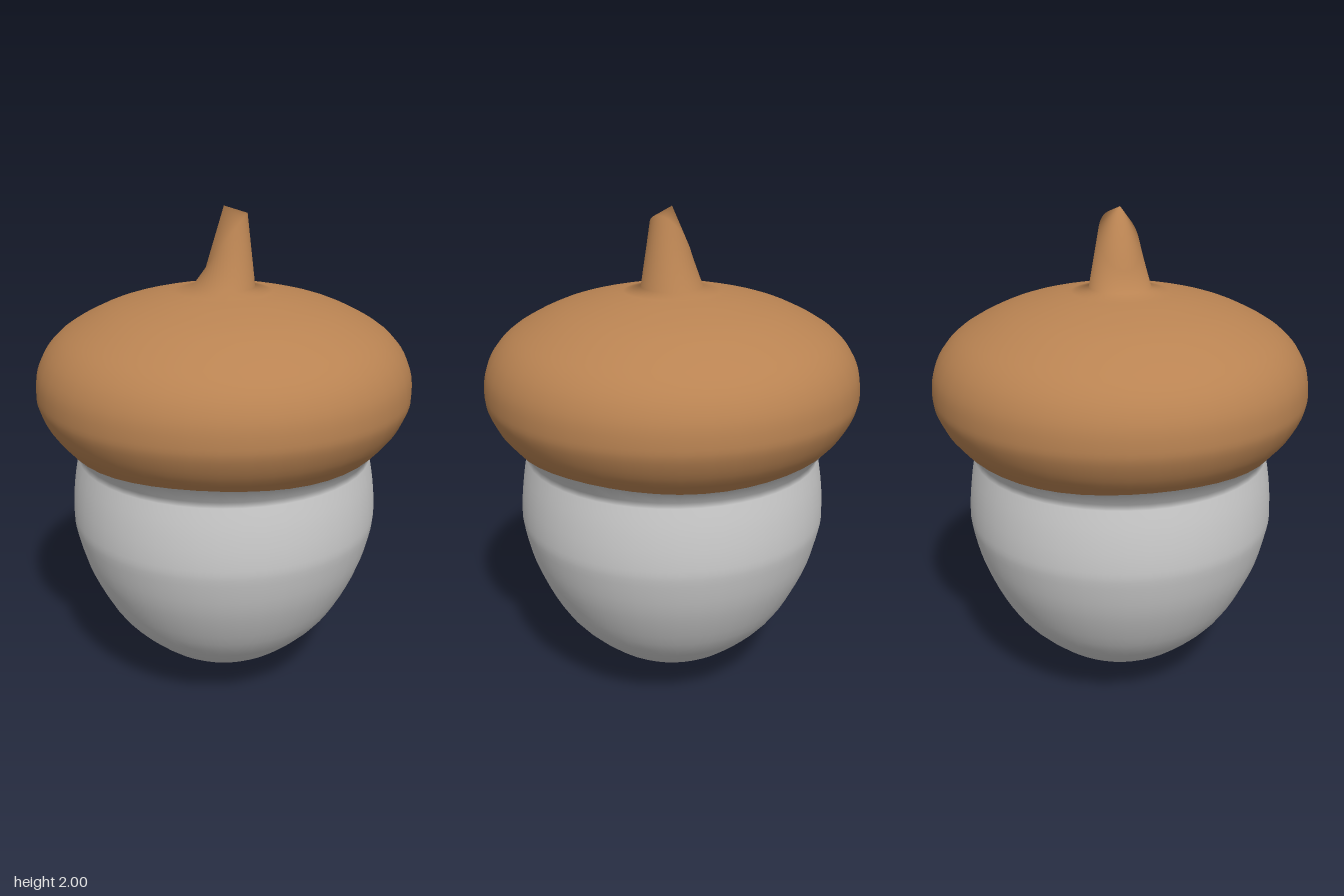
import * as THREE from 'three';
import { mergeVertices } from 'three/addons/utils/BufferGeometryUtils.js';

const points = (list) => list.map(([x, y]) => new THREE.Vector2(x, y));
const smooth = (list, n) => new THREE.SplineCurve(points(list)).getPoints(n);

// Lathe whose vertices are moved by a rule, welded for seamless normals
function turned(name, profile, color, rule) {
  let geo = new THREE.LatheGeometry(profile, 48);
  const p = geo.attributes.position;
  const v = new THREE.Vector3();
  for (let i = 0; i < p.count; i++) {
    rule(v.fromBufferAttribute(p, i));
    p.setXYZ(i, v.x, v.y, v.z);
  }
  geo.deleteAttribute('uv');
  geo.deleteAttribute('normal');
  geo = mergeVertices(geo, 1e-5);
  geo.computeVertexNormals();
  const mesh = new THREE.Mesh(geo, new THREE.MeshStandardMaterial({ color, side: THREE.DoubleSide }));
  mesh.name = name;
  return mesh;
}

// The rim shared by nut and cap is slightly wavy, four times around
const RIM = [0.642, 1.1];
function waveRim(v) {
  if (Math.abs(v.y - RIM[1]) < 1e-4) {
    const d = 0.009 * Math.cos(4 * Math.atan2(v.x, v.z));
    const s = 1 + (d * 0.8) / RIM[0];
    v.set(v.x * s, v.y + d, v.z * s);
  }
}

export function createModel() {
  const group = new THREE.Group();
  group.name = 'acorn';

  // Nut: pointed bottom, round belly, narrow neck flaring to the rim
  const nutProfile = [
    ...smooth([[0, 0], [0.1, 0.063], [0.2, 0.124], [0.31, 0.185], [0.465, 0.34], [0.57, 0.54],
      [0.618, 0.71], [0.625, 0.8], [0.614, 0.92], [0.592, 1.04]], 36),
    ...points([RIM]),
  ];
  group.add(turned('nut', nutProfile, 0xcccccc, waveRim));

  // Cap: flattened dome running up into a stem with a slanted tip
  const capProfile = [
    ...smooth([RIM, [0.70, 1.17], [0.738, 1.25], [0.745, 1.31], [0.733, 1.39], [0.69, 1.47],
      [0.61, 1.54], [0.46, 1.615], [0.3, 1.66], [0.19, 1.68]], 32),
    ...points([[0.122, 1.695], [0.08, 1.87], [0, 2]]),
  ];
  group.add(turned('capWithStem', capProfile, 0xb98352, (v) => {
    waveRim(v);
    // Tilt the upper stem ring so the tip leans to one side
    if (v.y > 1.8 && v.y < 1.99) {
      v.y += v.x * 1.3;
      v.x += 0.01;
    }
  }));
  return group;
}
